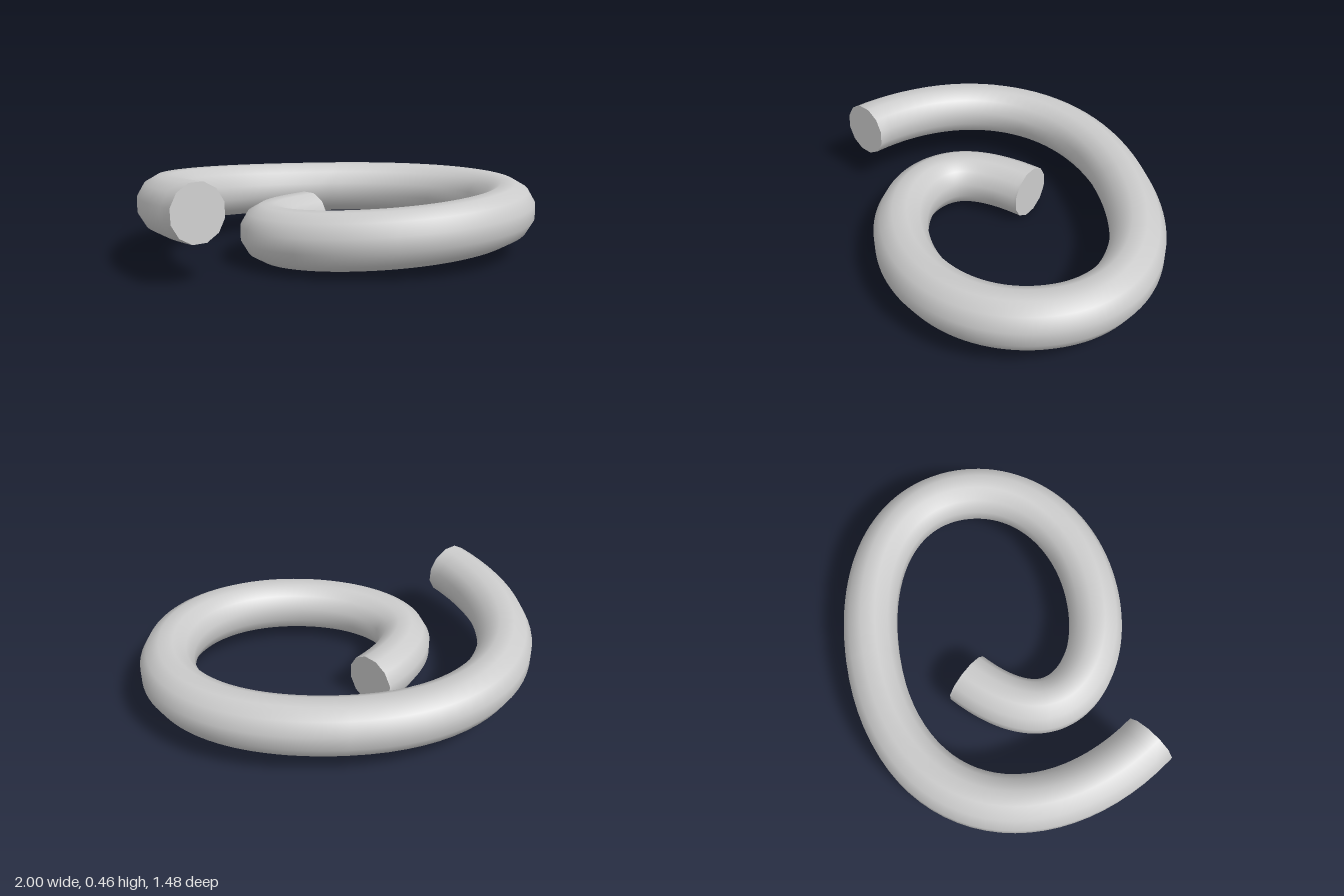
import * as THREE from 'three';

const SIDES = 12, STEPS = 28, RADIUS = 0.139;

// Centre line: x, y, z; each three points after the first form one cubic curve
const PATH = [
  [-0.675, 0.328, 0.655],
  [-1.084, 0.28, 0.05], [-0.82, 0.225, -0.61], [0, 0.225, -0.61],
  [0.52, 0.225, -0.61], [0.865, 0.22, -0.37], [0.865, 0.22, -0.02],
  [0.865, 0.22, 0.33], [0.56, 0.2, 0.575], [0.18, 0.178, 0.575],
  [-0.15, 0.16, 0.575], [-0.37, 0.148, 0.4], [-0.37, 0.145, 0.21],
  [-0.37, 0.142, 0.08], [-0.27, 0.136, -0.05], [-0.15, 0.135, -0.155],
].map((p) => new THREE.Vector3(...p));

// Twelve-sided ring kept upright, with flats at top, bottom and sides
function ring(curve, t) {
  const centre = curve.getPoint(t), dir = curve.getTangent(t);
  const side = new THREE.Vector3().crossVectors(dir, new THREE.Vector3(0, 1, 0)).normalize();
  const up = new THREE.Vector3().crossVectors(side, dir);
  return Array.from({ length: SIDES }, (_, j) => {
    const a = ((j + 0.5) / SIDES) * Math.PI * 2;
    return centre.clone()
      .addScaledVector(side, RADIUS * Math.cos(a))
      .addScaledVector(up, RADIUS * Math.sin(a));
  });
}

function meshFrom(name, points, index, material) {
  const geometry = new THREE.BufferGeometry().setFromPoints(points);
  geometry.setIndex(index);
  geometry.computeVertexNormals();
  const mesh = new THREE.Mesh(geometry, material);
  mesh.name = name;
  return mesh;
}

// Flat end disc
function cap(name, points, flip, material) {
  const index = [];
  for (let j = 1; j < SIDES - 1; j++) index.push(0, ...(flip ? [j + 1, j] : [j, j + 1]));
  return meshFrom(name, points, index, material);
}

export function createModel() {
  const group = new THREE.Group();
  group.name = 'spiralCoil';
  const material = new THREE.MeshStandardMaterial({ color: 0xcccccc });

  // Rings along the joined curves
  const rings = [];
  for (let i = 0; i + 3 < PATH.length; i += 3) {
    const curve = new THREE.CubicBezierCurve3(...PATH.slice(i, i + 4));
    for (let s = i ? 1 : 0; s <= STEPS; s++) rings.push(ring(curve, s / STEPS));
  }

  // Smooth wall between neighbouring rings
  const index = [];
  for (let i = 0; i < rings.length - 1; i++) {
    for (let j = 0; j < SIDES; j++) {
      const k = (j + 1) % SIDES;
      const a = i * SIDES + j, b = i * SIDES + k, c = b + SIDES, d = a + SIDES;
      index.push(a, c, b, a, d, c);
    }
  }
  group.add(
    meshFrom('coilTube', rings.flat(), index, material),
    cap('outerEnd', rings[0], false, material),
    cap('innerEnd', rings[rings.length - 1], true, material),
  );
  return group;
}
